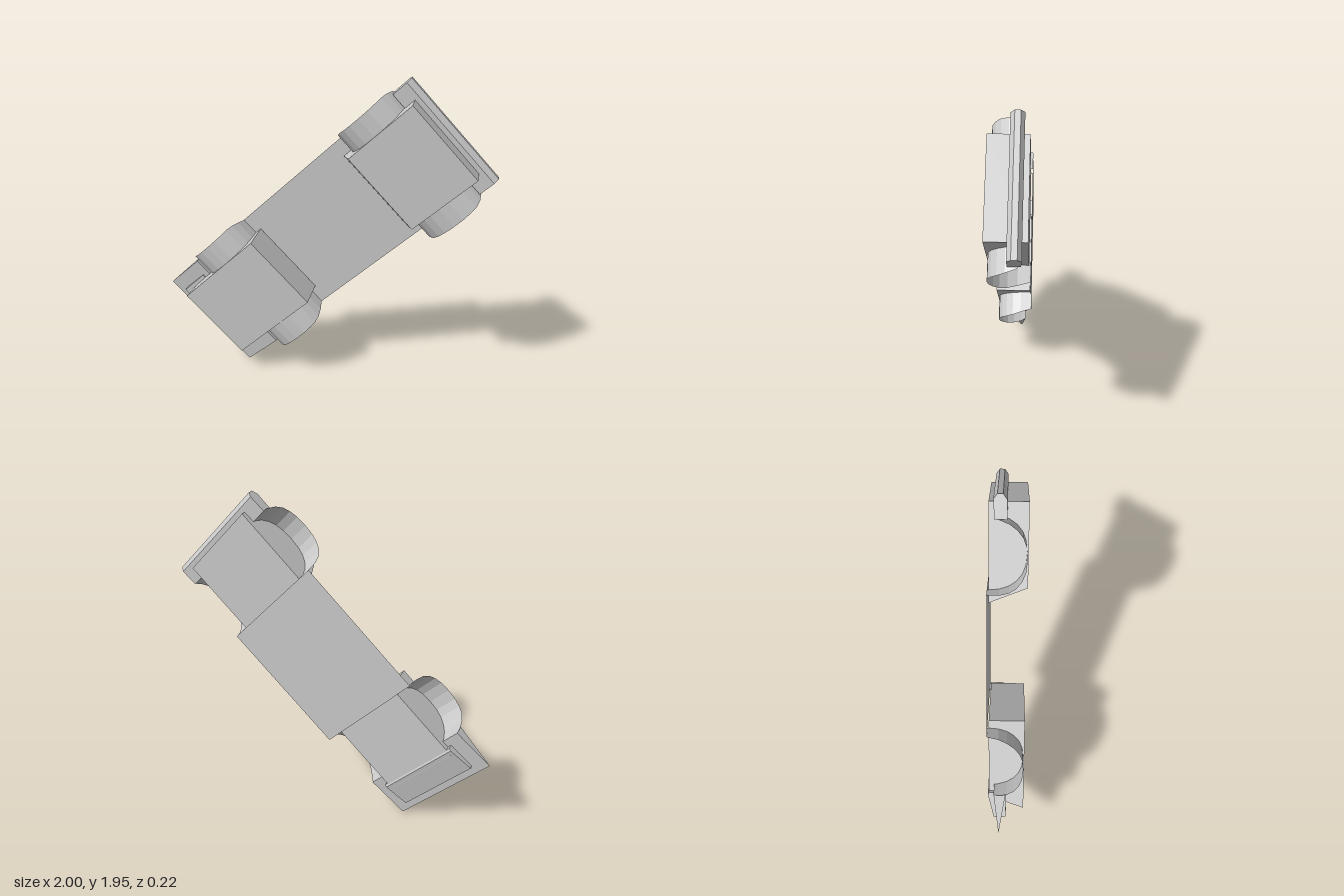
import * as THREE from 'three';

const grey = new THREE.MeshStandardMaterial({ color: 0xcccccc, flatShading: true });
const thin = new THREE.MeshStandardMaterial({ color: 0xcccccc, flatShading: true, side: THREE.DoubleSide });

// Local frame: x runs along the body, y across it, z is its height.
// Extrudes an (x, z) profile across the body, centred on y = 0.
function across(name, profile, width) {
  const shape = new THREE.Shape(profile.map(([x, z]) => new THREE.Vector2(x, z)));
  const geo = new THREE.ExtrudeGeometry(shape, { depth: width, bevelEnabled: false });
  geo.rotateX(Math.PI / 2).translate(0, width / 2, 0);
  const mesh = new THREE.Mesh(geo, grey);
  mesh.name = name;
  return mesh;
}

// Open wheel arch: a thin band swept over a half ellipse, its rim flaring out above the foot.
function wheelArch(name, centre, radius, inner, side, bumperDir) {
  const base = -0.112, height = 0.215, steps = 12, pos = [], idx = [];
  for (let i = 0; i <= steps; i++) {
    const a = Math.PI * i / steps, c = Math.cos(a), s = Math.sin(a);
    const x = centre + bumperDir * radius * Math.sign(c) * Math.pow(Math.abs(c), 0.85);
    const lift = Math.pow(s, 0.85);
    const z = Math.max(base + height * lift, i === 0 ? -0.07 : base);
    const rim = 0.36 + 0.042 * Math.min(1, lift * 1.5);
    pos.push(x, side * inner, z, x, side * rim, z);
    if (i < steps) {
      const k = 2 * i;
      idx.push(k, k + 1, k + 3, k, k + 3, k + 2);
    }
  }
  const geo = new THREE.BufferGeometry();
  geo.setAttribute('position', new THREE.Float32BufferAttribute(pos, 3));
  geo.setIndex(idx);
  geo.computeVertexNormals();
  const mesh = new THREE.Mesh(geo, thin);
  mesh.name = name;
  return mesh;
}

export function createModel() {
  const model = new THREE.Group();
  const body = new THREE.Group();
  body.name = 'body';

  // Thin floor joining the two ends
  const floor = new THREE.Mesh(new THREE.PlaneGeometry(0.86, 0.724), thin);
  floor.name = 'floorPlate';
  floor.position.set(0.065, 0, -0.111);
  body.add(floor);

  // End blocks with one sloping end each
  body.add(across('lowerBlock', [[-0.924, 0.11], [-0.84, -0.102], [-0.315, -0.102], [-0.315, 0.11]], 0.505));
  body.add(across('upperBlock', [[0.506, 0.11], [0.42, -0.102], [0.972, -0.102], [0.972, 0.11]], 0.538));

  // Wheel arches, mirrored across the body
  for (const side of [1, -1]) {
    const label = side > 0 ? 'Left' : 'Right';
    body.add(wheelArch('lowerArch' + label, -0.56, 0.196, 0.252, side, -1));
    body.add(wheelArch('upperArch' + label, 0.7, 0.206, 0.268, side, 1));
  }

  // Lower end: pointed lip with a tapered pad through it
  body.add(across('lowerLip', [[-1.033, -0.04], [-0.755, -0.07], [-0.755, 0]], 0.732));
  body.add(across('lowerPad', [[-0.975, 0.003], [-0.98, -0.07], [-0.815, -0.107], [-0.8, -0.1], [-0.8, 0.003]], 0.55));

  // Upper end: bumper bar with a faceted edge
  body.add(across('upperBumper', [[0.9, -0.07], [1.005, -0.075], [1.031, -0.055], [1.031, -0.025], [1.0, -0.003], [0.9, -0.003]], 0.736));

  body.rotation.z = THREE.MathUtils.degToRad(43.6);
  body.position.y = 0.975;
  model.add(body);
  return model;
}
